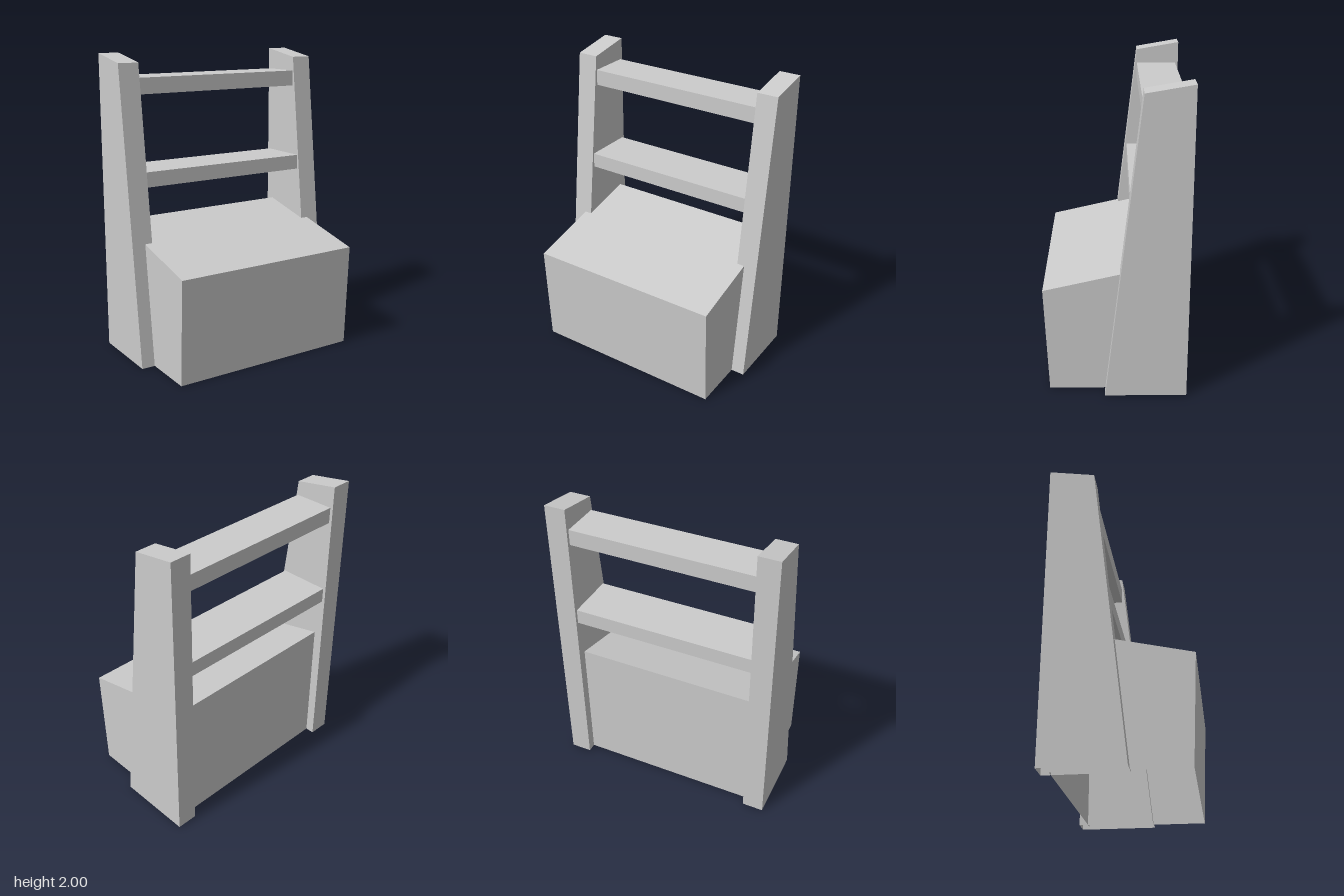
import * as THREE from 'three';

const material = new THREE.MeshStandardMaterial({ color: 0xcccccc, flatShading: true, side: THREE.DoubleSide });

// Hollow shell, open underneath: a [z, y] profile (front bottom, front top, back top, back bottom) from x0 to x1
function shell(name, profile, x0, x1) {
  const pos = [];
  const at = (x, i) => [x, profile[i][1], profile[i][0]];
  const quad = (a, b, c, d) => pos.push(...a, ...b, ...c, ...a, ...c, ...d);
  for (let i = 0; i < 3; i++) quad(at(x0, i), at(x1, i), at(x1, i + 1), at(x0, i + 1));
  quad(at(x1, 0), at(x1, 3), at(x1, 2), at(x1, 1));
  quad(at(x0, 0), at(x0, 1), at(x0, 2), at(x0, 3));
  const geometry = new THREE.BufferGeometry();
  geometry.setAttribute('position', new THREE.Float32BufferAttribute(pos, 3));
  geometry.computeVertexNormals();
  const mesh = new THREE.Mesh(geometry, material);
  mesh.name = name;
  return mesh;
}

// Closed horizontal slat between the posts
function slat(name, yBottom, yTop, zBack, zFront) {
  const mesh = new THREE.Mesh(new THREE.BoxGeometry(1.21, yTop - yBottom, zFront - zBack), material);
  mesh.position.set(0, (yBottom + yTop) / 2, (zBack + zFront) / 2);
  mesh.name = name;
  return mesh;
}

export function createModel() {
  const group = new THREE.Group();
  group.name = 'bench';

  // Seat block with a top that rises towards the back
  group.add(shell('seatBlock', [[0.42, 0], [0.45, 0.695], [-0.39, 0.89], [-0.39, 0]], -0.655, 0.655));

  // Tapered side posts
  const post = [[0.065, 0], [-0.16, 1.95], [-0.45, 2], [-0.45, 0]];
  group.add(shell('leftPost', post, 0.605, 0.745));
  group.add(shell('rightPost', post, -0.745, -0.605));

  // Backrest slats
  group.add(slat('upperSlat', 1.75, 1.855, -0.43, -0.16));
  group.add(slat('lowerSlat', 1.16, 1.26, -0.43, -0.09));

  return group;
}
